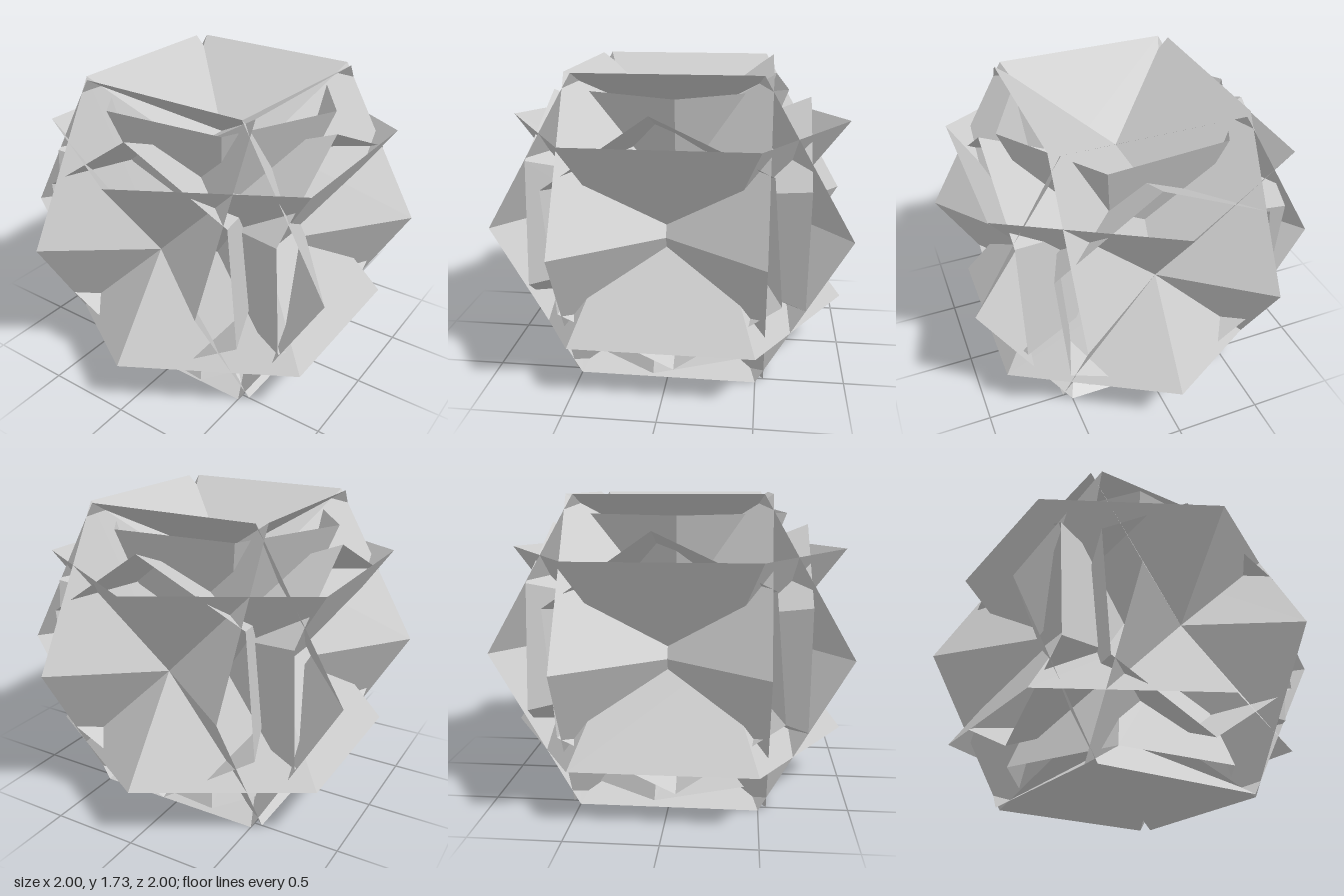
import * as THREE from 'three';

const material = new THREE.MeshStandardMaterial({
  color: 0xcccccc, flatShading: true, side: THREE.DoubleSide,
});
const CENTRE = Math.sqrt(3) / 2;

// Open six-sided flare: narrow at the waist (y = 0), wide at y = length
function flare(name, rim, waist, length, turn) {
  const geometry = new THREE.CylinderGeometry(rim, waist, length, 6, 1, true, turn);
  geometry.translate(0, length / 2, 0);
  const mesh = new THREE.Mesh(geometry, material);
  mesh.name = name;
  return mesh;
}

// Hourglass: two flares meeting at the waist
function hourglass(name, rim, waist, length, turn) {
  const group = new THREE.Group();
  group.name = name;
  const near = flare(name + 'Near', rim, waist, length, turn);
  const far = flare(name + 'Far', rim, waist, length, turn);
  far.rotation.x = Math.PI;
  group.add(near, far);
  return group;
}

export function createModel() {
  const model = new THREE.Group();
  model.name = 'hourglassCompound';
  const X = new THREE.Vector3(1, 0, 0);
  const Y = new THREE.Vector3(0, 1, 0);
  const Z = new THREE.Vector3(0, 0, 1);

  // The same pair of hourglasses stands along each of the three axes
  const frames = {
    upright: new THREE.Matrix4(),
    sideways: new THREE.Matrix4().makeBasis(Z, X, Y),
    frontToBack: new THREE.Matrix4().makeRotationX(Math.PI / 2),
  };
  for (const [name, frame] of Object.entries(frames)) {
    const pair = new THREE.Group();
    pair.name = name + 'Pair';
    pair.add(
      hourglass(name + 'WideHourglass', 1, 0.585, 0.546, Math.PI / 2),
      hourglass(name + 'SlimHourglass', 0.693, 0.38, 0.762, THREE.MathUtils.degToRad(5)),
    );
    pair.quaternion.setFromRotationMatrix(frame);
    pair.position.y = CENTRE;
    model.add(pair);
  }
  return model;
}
